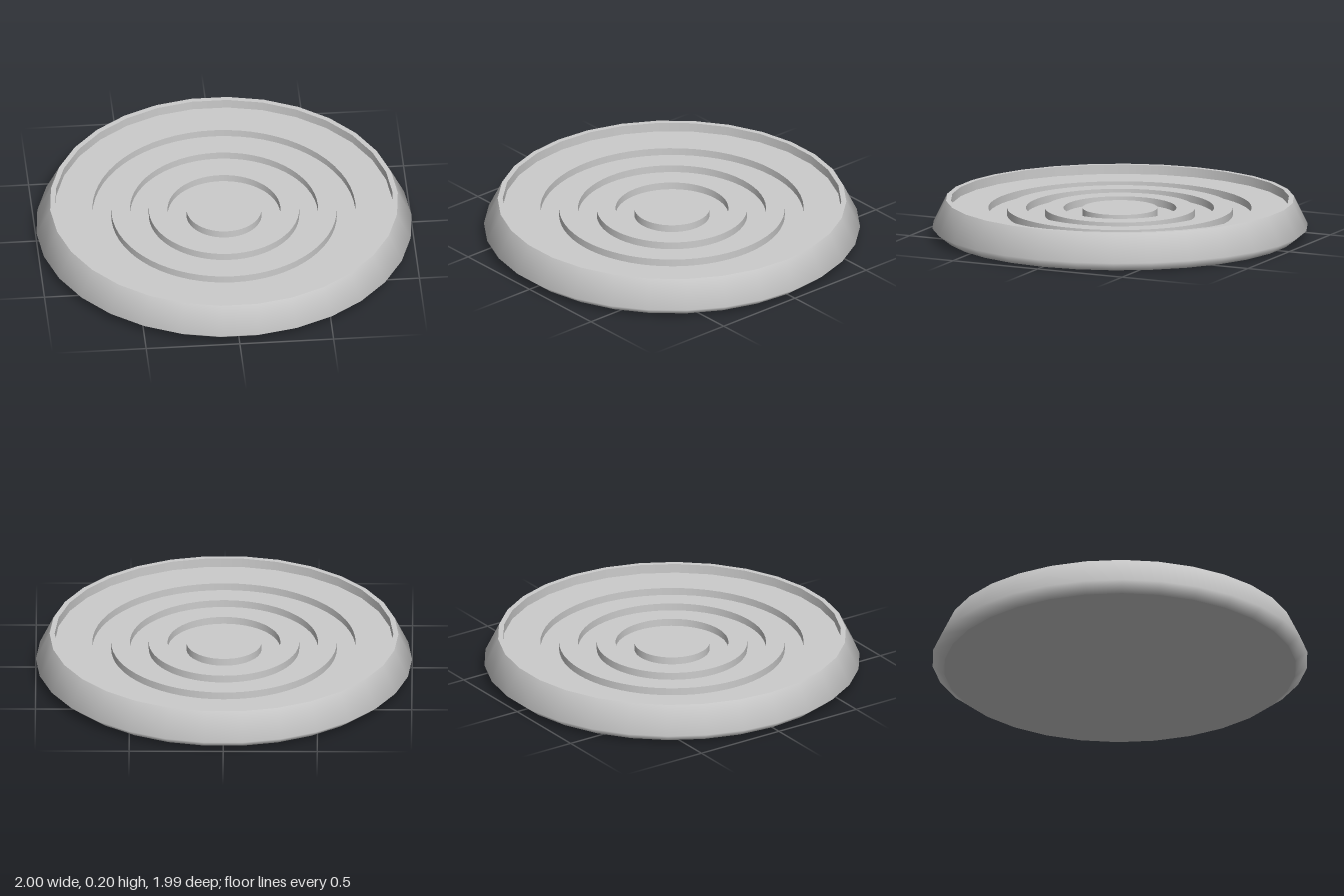
import * as THREE from 'three';

const RIM_SIDES = 30;
const RING_SIDES = 64;
const FLOOR = 0.15;
const GROOVE = 0.11;

export function createModel() {
  const group = new THREE.Group();
  const material = new THREE.MeshStandardMaterial({ color: 0xcccccc });

  const add = (parent, name, geometry) => {
    const mesh = new THREE.Mesh(geometry, material);
    mesh.name = name;
    parent.add(mesh);
    return mesh;
  };

  // Smooth turned surface with a corner on the x axis
  const turned = (profile, sides) =>
    new THREE.LatheGeometry(profile.map(([r, y]) => new THREE.Vector2(r, y)), sides)
      .rotateY(Math.PI / 2);

  const circle = (r, sides) => Array.from({ length: sides }, (_, i) => {
    const a = (i / sides) * Math.PI * 2;
    return new THREE.Vector2(r * Math.cos(a), r * Math.sin(a));
  });

  // Bowl: bulging outer wall, flat rim, inner wall and underside
  const tray = new THREE.Group();
  tray.name = 'tray';
  group.add(tray);
  add(tray, 'outerWall', turned([[0.937, 0], [1, 0.05], [0.927, 0.2]], RIM_SIDES));
  add(tray, 'rim', turned([[0.927, 0.2], [0.9, 0.2]], RIM_SIDES));
  add(tray, 'innerWall', turned([[0.9, 0.2], [0.9, FLOOR]], RIM_SIDES));
  add(tray, 'underside', new THREE.CircleGeometry(0.937, RIM_SIDES).rotateX(Math.PI / 2));

  // Floor between the inner wall and the outermost groove
  const floor = new THREE.Shape(circle(0.9, RIM_SIDES));
  floor.holes.push(new THREE.Path(circle(0.7, RING_SIDES)));
  add(group, 'floor', new THREE.ShapeGeometry(floor).rotateX(-Math.PI / 2)).position.y = FLOOR;

  // Concentric grooves, each with two walls and a flat bottom
  for (const outer of [0.7, 0.5, 0.3]) {
    const inner = outer - 0.1;
    const groove = new THREE.Group();
    groove.name = 'groove';
    group.add(groove);
    add(groove, 'grooveOuterWall', turned([[outer, FLOOR], [outer, GROOVE]], RING_SIDES));
    add(groove, 'grooveBottom', turned([[outer, GROOVE], [inner, GROOVE]], RING_SIDES));
    add(groove, 'grooveInnerWall', turned([[inner, GROOVE], [inner, FLOOR]], RING_SIDES));
  }

  // Raised rings between the grooves and the disc in the middle
  for (const outer of [0.6, 0.4]) {
    add(group, 'raisedRing', turned([[outer, FLOOR], [outer - 0.1, FLOOR]], RING_SIDES));
  }
  add(group, 'centreDisc', new THREE.CircleGeometry(0.2, RING_SIDES).rotateX(-Math.PI / 2))
    .position.y = FLOOR;

  return group;
}
